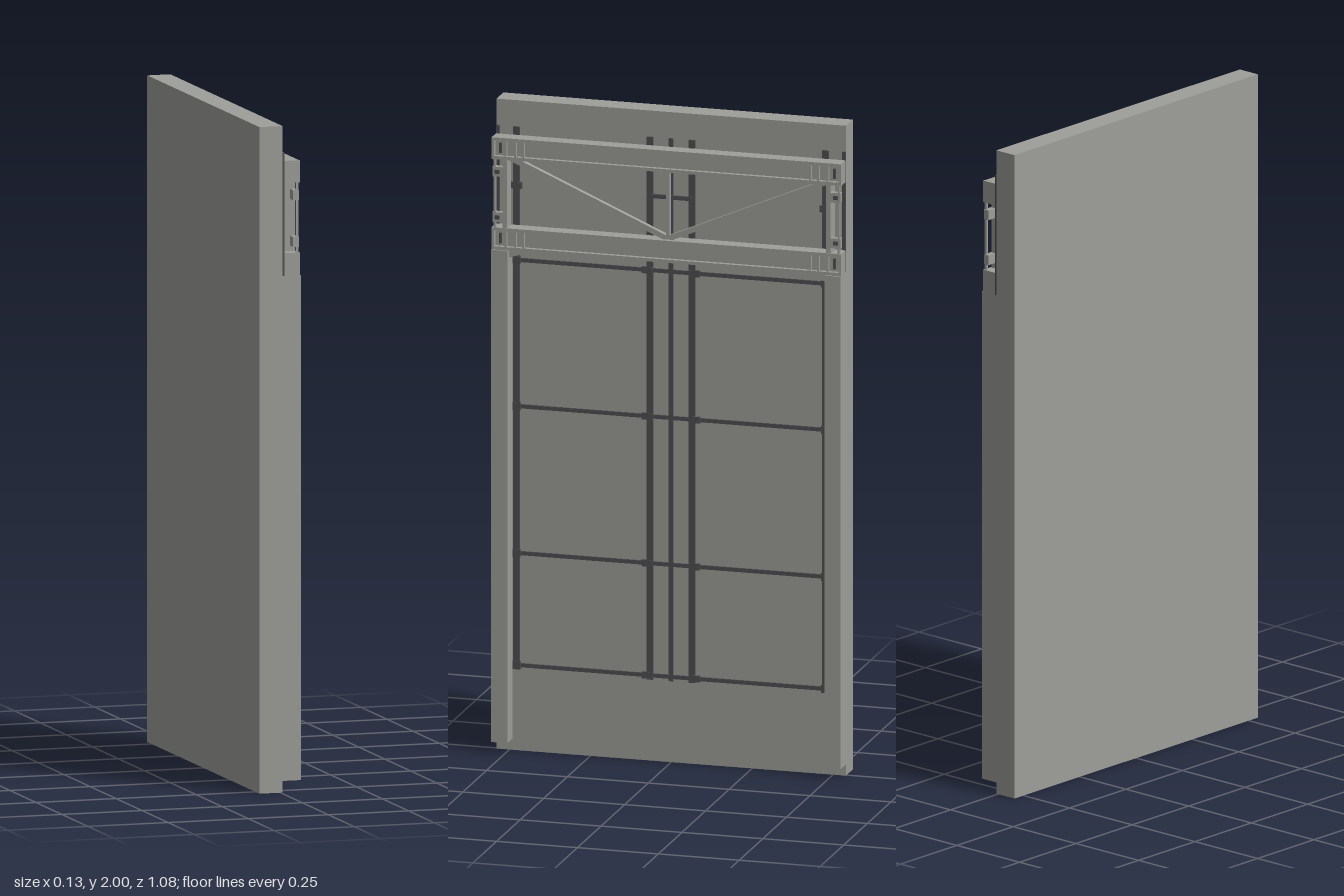
import * as THREE from 'three';

export function createModel() {
  const model = new THREE.Group();
  const concrete = new THREE.MeshStandardMaterial({ name: 'concrete grey', color: 0x9e9e9a });
  const steel = new THREE.MeshStandardMaterial({ name: 'dark steel', color: 0x505052 });

  // Box given by its limits on each axis
  function box(name, mat, x0, x1, y0, y1, z0, z1, parent = model) {
    const mesh = new THREE.Mesh(new THREE.BoxGeometry(x1 - x0, y1 - y0, z1 - z0), mat);
    mesh.position.set((x0 + x1) / 2, (y0 + y1) / 2, (z0 + z1) / 2);
    mesh.name = name;
    parent.add(mesh);
    return mesh;
  }
  // Same box on both sides of z = 0
  function pair(name, mat, x0, x1, y0, y1, z0, z1, parent) {
    box(name + 'Front', mat, x0, x1, y0, y1, z0, z1, parent);
    box(name + 'Rear', mat, x0, x1, y0, y1, -z1, -z0, parent);
  }

  // Wall slab and the two side posts
  const face = 0.006;
  box('wallSlab', concrete, -0.066, face, 0, 2, -0.54, 0.54);
  pair('sidePost', concrete, face, 0.063, 0.035, 1.55, 0.49, 0.54);

  // Steel grid lying on the wall: double rails, centre rail and crossbars
  const grid = new THREE.Group();
  grid.name = 'steelGrid';
  model.add(grid);
  for (const z of [0.065, 0.477]) {
    pair('verticalRail', steel, face, 0.012, 0.25, 1.92, z - 0.01, z + 0.01, grid);
  }
  box('centreRail', steel, face, 0.012, 0.25, 1.92, -0.007, 0.007, grid);
  for (const y of [0.263, 0.608, 1.06, 1.51]) {
    box('crossbar', steel, face, 0.011, y - 0.006, y + 0.006, -0.485, 0.485, grid);
    pair('crossbarClamp', steel, face, 0.014, y - 0.01, y + 0.01, 0.055, 0.09, grid);
    pair('endClamp', steel, face, 0.014, y - 0.012, y + 0.012, 0.465, 0.488, grid);
  }
  box('upperTie', steel, face, 0.014, 1.733, 1.745, -0.075, 0.075, grid);
  pair('upperClamp', steel, face, 0.014, 1.73, 1.75, 0.46, 0.497, grid);
  pair('edgeRail', steel, face, 0.012, 1.55, 1.92, 0.53, 0.54, grid);

  // Truss: two flanged chords
  const truss = new THREE.Group();
  truss.name = 'truss';
  model.add(truss);
  const chords = [['topChord', 1.828, 1.895], ['bottomChord', 1.55, 1.618]];
  for (const [name, y0, y1] of chords) {
    box(name + 'Web', concrete, 0.03, 0.045, y0, y1, -0.54, 0.54, truss);
    box(name + 'LowerFlange', concrete, 0.012, 0.058, y0, y0 + 0.01, -0.54, 0.54, truss);
    box(name + 'UpperFlange', concrete, 0.012, 0.058, y1 - 0.01, y1, -0.54, 0.54, truss);
    // End plates and stiffeners
    pair(name + 'EndPlate', concrete, 0.012, 0.06, y0, y1, 0.532, 0.54, truss);
    for (const z of [0.44, 0.465, 0.495]) {
      pair(name + 'Stiffener', concrete, 0.03, 0.057, y0, y1, z, z + 0.006, truss);
    }
    pair(name + 'Bolt', steel, 0.045, 0.05, y0 + 0.018, y1 - 0.018, 0.512, 0.52, truss);
  }

  // End columns between the chords
  pair('endColumn', concrete, 0.012, 0.056, 1.61, 1.835, 0.493, 0.507, truss);
  for (const y of [1.65, 1.79]) {
    pair('columnBracket', concrete, 0.04, 0.058, y - 0.015, y + 0.015, 0.505, 0.538, truss);
    pair('bracketPin', steel, 0.044, 0.06, y - 0.006, y + 0.006, 0.515, 0.53, truss);
  }
  pair('columnRod', concrete, 0.05, 0.057, 1.61, 1.835, 0.528, 0.535, truss);

  // Centre hanger and sloping braces meeting at the bottom chord
  box('centreHanger', concrete, 0.028, 0.044, 1.61, 1.835, -0.006, 0.006, truss);
  for (const side of [1, -1]) {
    const dz = 0.485, dy = 0.21;
    const brace = box('diagonalBrace', concrete, 0.028, 0.044, -0.008, 0.008,
      -Math.hypot(dz, dy) / 2, Math.hypot(dz, dy) / 2, truss);
    brace.position.set(0.036, 1.725, side * dz / 2);
    brace.rotation.x = -side * Math.atan2(dy, dz);
  }

  // Small corner gussets under the truss
  for (const side of [1, -1]) {
    const shape = new THREE.Shape([
      new THREE.Vector2(-0.49 * side, 1.55),
      new THREE.Vector2(-0.49 * side, 1.525),
      new THREE.Vector2(-0.41 * side, 1.55),
    ]);
    const geo = new THREE.ExtrudeGeometry(shape, { depth: 0.02, bevelEnabled: false });
    geo.rotateY(Math.PI / 2);
    const gusset = new THREE.Mesh(geo, concrete);
    gusset.position.x = 0.025;
    gusset.name = 'cornerGusset';
    truss.add(gusset);
  }
  return model;
}
